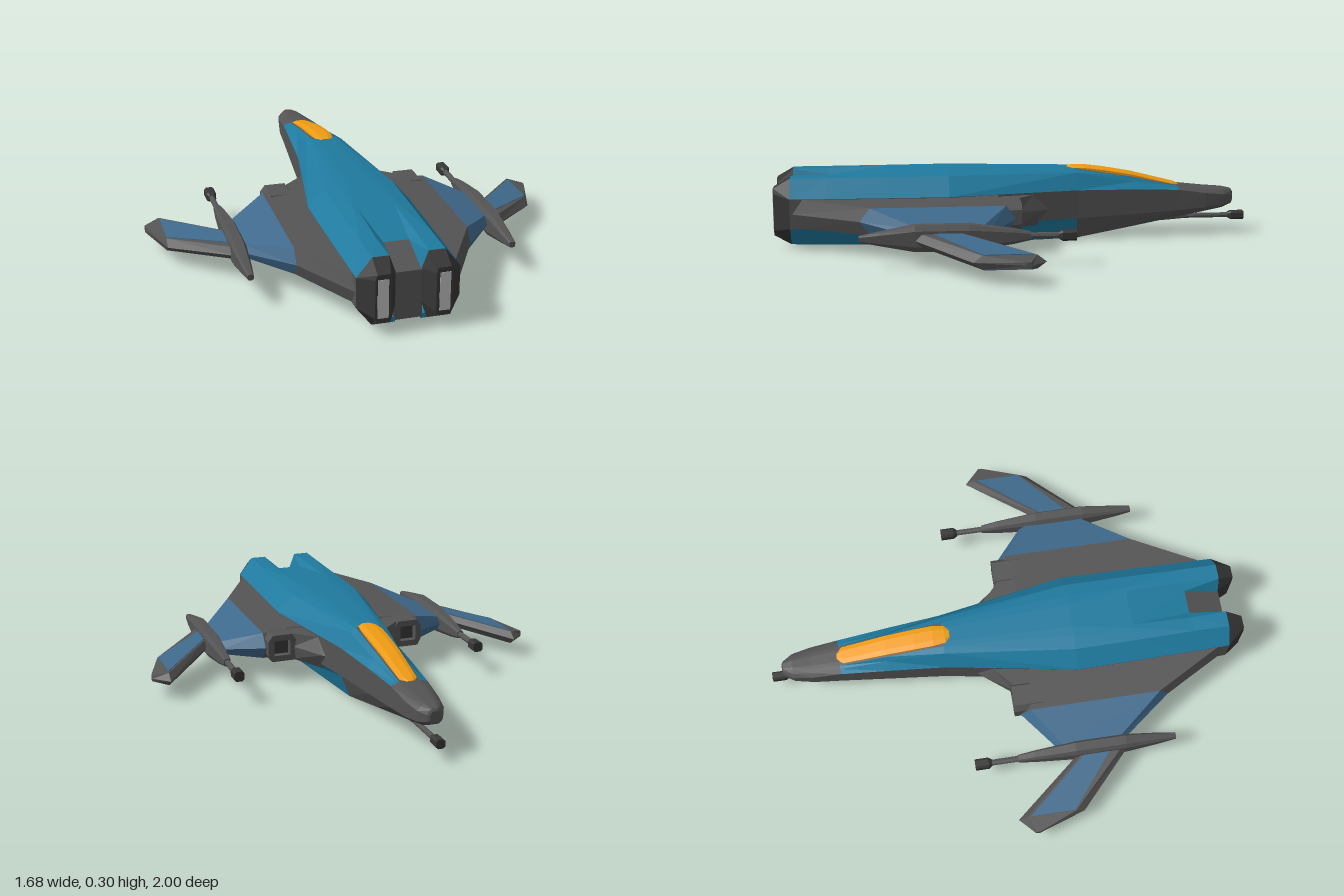
import * as THREE from 'three';

const mat = (color) => new THREE.MeshStandardMaterial({ color, flatShading: true, side: THREE.DoubleSide });
const GREY = mat(0x545454), DARK = mat(0x363636), TEAL = mat(0x1f7a9f);
const MUTED = mat(0x3f6a8c), ORANGE = mat(0xf09c14), LIGHT = mat(0xbbbbbb);

function mesh(name, geometry, material, parent) {
  const m = new THREE.Mesh(geometry, material);
  m.name = name;
  parent.add(m);
  return m;
}

// Skin over rows of points; closed rows make a capped solid
function loft(rows, closed = true) {
  const pos = [];
  const n = rows[0].length;
  const tri = (a, b, c) => pos.push(...a, ...b, ...c);
  for (let r = 0; r < rows.length - 1; r++) {
    for (let i = 0; i < (closed ? n : n - 1); i++) {
      const j = (i + 1) % n, p = rows[r], q = rows[r + 1];
      tri(p[i], p[j], q[j]);
      tri(p[i], q[j], q[i]);
    }
  }
  if (closed) {
    const a = rows[0], b = rows[rows.length - 1];
    for (let i = 1; i < n - 1; i++) {
      tri(a[0], a[i + 1], a[i]);
      tri(b[0], b[i], b[i + 1]);
    }
  }
  const g = new THREE.BufferGeometry();
  g.setAttribute('position', new THREE.Float32BufferAttribute(pos, 3));
  g.computeVertexNormals();
  return g;
}

// Wing section at x: front/rear z, top/bottom y, bevelled edges
function wingRing(x, zf, zr, yt, yb, bevel) {
  const m = (yt + yb) / 2;
  return [[x, m, zf], [x, yt, zf + bevel], [x, yt, zr - bevel],
    [x, m, zr], [x, yb, zr - bevel], [x, yb, zf + bevel]].reverse();
}

// Eight-sided section at z with chamfered corners
function octRing(z, cx, cy, w, h, c = 0.4) {
  const k = 1 - c;
  return [[w, k * h], [k * w, h], [-k * w, h], [-w, k * h], [-w, -k * h], [-k * w, -h], [k * w, -h], [w, -k * h]]
    .map(([x, y]) => [cx + x, cy + y, z]);
}

function cannon(name, x, y, zBack, zTip, r, parent) {
  const gun = new THREE.Group();
  gun.name = name;
  const len = zBack - zTip;
  const barrel = mesh('barrel', new THREE.CylinderGeometry(r * 0.6, r * 0.6, len, 8), GREY, gun);
  barrel.rotation.x = Math.PI / 2;
  barrel.position.set(x, y, zTip + len / 2 + 0.005);
  mesh('muzzle', loft([octRing(zTip, x, y, r, r), octRing(zTip + 0.055, x, y, r, r),
    octRing(zTip + 0.07, x, y, r * 0.6, r * 0.6)]), DARK, gun);
  parent.add(gun);
}

// Hull half sections: z, then [x, y] of centre edge, ridge, shoulder, upper waist, lower waist, keel
const HULL = [
  [-0.94, [0.01, 0.195], [0.015, 0.194], [0.022, 0.188], [0.03, 0.172], [0.03, 0.145], [0.018, 0.133]],
  [-0.9, [0.015, 0.203], [0.025, 0.201], [0.04, 0.193], [0.054, 0.178], [0.052, 0.135], [0.03, 0.118]],
  [-0.82, [0.02, 0.208], [0.035, 0.206], [0.052, 0.2], [0.068, 0.188], [0.066, 0.125], [0.038, 0.104]],
  [-0.7, [0.025, 0.22], [0.042, 0.218], [0.056, 0.214], [0.076, 0.206], [0.075, 0.118], [0.045, 0.083]],
  [-0.5, [0.028, 0.264], [0.048, 0.26], [0.062, 0.242], [0.095, 0.215], [0.093, 0.108], [0.06, 0.048]],
  [-0.26, [0.03, 0.302], [0.052, 0.3], [0.08, 0.288], [0.117, 0.22], [0.115, 0.1], [0.08, 0.008]],
  [0.28, [0.05, 0.31], [0.09, 0.306], [0.145, 0.295], [0.21, 0.22], [0.21, 0.097], [0.14, 0.006]],
  [0.53, [0.075, 0.304], [0.092, 0.304], [0.143, 0.295], [0.207, 0.22], [0.207, 0.097], [0.14, 0.01]],
  [0.78, [0.05, 0.275], [0.08, 0.297], [0.14, 0.295], [0.203, 0.22], [0.203, 0.097], [0.14, 0.016]],
  [0.93, [0.048, 0.225], [0.075, 0.295], [0.14, 0.295], [0.2, 0.22], [0.2, 0.097], [0.14, 0.02]],
];

function hullBand(name, s0, s1, p0, p1, material, parent) {
  const rows = HULL.slice(s0, s1 + 1).map(([z, ...p]) => p.slice(p0, p1 + 1).map(([x, y]) => [x, y, z]));
  mesh(name, loft(rows, false), material, parent);
}

// Strip joining both sides of the hull at one profile point
function hullBridge(name, s0, s1, p, material, parent) {
  const rows = HULL.slice(s0, s1 + 1).map(([z, ...pts]) => [[-pts[p][0], pts[p][1], z], [pts[p][0], pts[p][1], z]]);
  mesh(name, loft(rows, false), material, parent);
}

function buildSide() {
  const side = new THREE.Group();
  side.name = 'side';

  // Hull skin
  hullBand('noseUpper', 0, 3, 0, 3, GREY, side);
  hullBand('canopySurround', 3, 5, 0, 1, GREY, side);
  hullBand('shoulderFront', 3, 5, 1, 3, TEAL, side);
  hullBand('upperHull', 5, 9, 0, 3, TEAL, side);
  hullBand('waist', 0, 9, 3, 4, GREY, side);
  hullBand('noseLower', 0, 5, 4, 5, GREY, side);
  hullBand('lowerHull', 5, 9, 4, 5, TEAL, side);

  // Engine nozzle
  const wide = [[0.05, 0.225], [0.075, 0.295], [0.14, 0.295], [0.2, 0.22], [0.2, 0.097], [0.14, 0.02], [0.075, 0.02], [0.05, 0.09]];
  const tight = [[0.085, 0.235], [0.09, 0.255], [0.14, 0.255], [0.148, 0.235], [0.148, 0.08], [0.14, 0.06], [0.09, 0.06], [0.085, 0.08]];
  const at = (pts, z) => pts.map(([x, y]) => [x, y, z]).reverse();
  mesh('nozzle', loft([at(wide, 0.93), at(tight, 0.999)]), DARK, side);
  const glow = mesh('exhaust', new THREE.BoxGeometry(0.042, 0.155, 0.01), LIGHT, side);
  glow.position.set(0.118, 0.158, 0.996);

  // Inner wing
  mesh('wingRoot', loft([wingRing(0.13, 0.04, 0.97, 0.22, 0.098, 0.03),
    wingRing(0.2, 0.04, 0.92, 0.218, 0.098, 0.04),
    wingRing(0.35, 0.02, 0.645, 0.21, 0.1, 0.04)]), GREY, side);
  mesh('wingPanel', loft([wingRing(0.35, 0.02, 0.645, 0.21, 0.1, 0.04),
    wingRing(0.51, 0.15, 0.43, 0.155, 0.1, 0.025)]), MUTED, side);

  // Air intake with its fairing
  const frame = new THREE.Shape([[0.225, 0.1], [0.33, 0.1], [0.345, 0.13], [0.345, 0.19], [0.325, 0.215], [0.24, 0.215], [0.225, 0.19]]
    .map(([x, y]) => new THREE.Vector2(x, y)));
  frame.holes.push(new THREE.Path([[0.25, 0.125], [0.25, 0.19], [0.32, 0.19], [0.32, 0.125]].map(([x, y]) => new THREE.Vector2(x, y))));
  mesh('intakeFrame', new THREE.ExtrudeGeometry(frame, { depth: 0.12, bevelEnabled: false }), GREY, side).position.z = -0.005;
  const duct = mesh('intakeDuct', new THREE.BoxGeometry(0.08, 0.08, 0.02), DARK, side);
  duct.position.set(0.285, 0.158, 0.035);
  mesh('intakeFairing', loft([wingRing(0.11, -0.17, 0.12, 0.205, 0.085, 0.05),
    wingRing(0.15, -0.12, 0.12, 0.212, 0.08, 0.05),
    wingRing(0.235, 0, 0.12, 0.213, 0.1, 0.008)]), GREY, side);

  // Wing pod and its cannon
  mesh('wingPod', loft([[-0.02, 0.014, 0.016], [0.05, 0.02, 0.03], [0.22, 0.03, 0.052], [0.43, 0.03, 0.052], [0.57, 0.02, 0.026], [0.645, 0.012, 0.012]]
    .map(([z, w, h]) => octRing(z, 0.528, 0.128, w, h))), GREY, side);
  cannon('wingCannon', 0.528, 0.128, 0.05, -0.2, 0.021, side);

  // Swept wing tip with coloured stripe
  mesh('wingTip', loft([wingRing(0.54, 0.235, 0.445, 0.15, 0.1, 0.025),
    wingRing(0.775, -0.055, 0.22, 0.114, 0.06, 0.035),
    wingRing(0.838, 0.005, 0.03, 0.1, 0.075, 0.005)]), GREY, side);
  mesh('wingTipStripe', loft([wingRing(0.545, 0.265, 0.37, 0.152, 0.097, 0),
    wingRing(0.774, -0.005, 0.18, 0.117, 0.057, 0)]), MUTED, side);
  return side;
}

export function createModel() {
  const model = new THREE.Group();
  model.name = 'starfighter';
  const left = buildSide();
  const right = buildSide();
  left.name = 'leftSide';
  right.name = 'rightSide';
  right.scale.x = -1;
  model.add(left, right);

  // Centre strips closing the hull
  hullBridge('noseTop', 0, 5, 0, GREY, model);
  hullBridge('spine', 5, 8, 0, TEAL, model);
  hullBridge('tailSlope', 8, 9, 0, GREY, model);
  hullBridge('noseBelly', 0, 5, 5, GREY, model);
  hullBridge('belly', 5, 8, 5, TEAL, model);
  const hullRing = (s) => {
    const [z, ...p] = s;
    return [...p.map(([x, y]) => [x, y, z]), ...p.map(([x, y]) => [-x, y, z]).reverse()];
  };
  const tip = hullRing(HULL[0]);
  mesh('noseCap', loft([tip.map(([x, y, z]) => [x * 0.7, 0.164 + (y - 0.164) * 0.7, z - 0.006]), tip]), GREY, model);

  // Block between the engines, and the engine undersides
  mesh('engineDivider', new THREE.BoxGeometry(0.11, 0.195, 0.2), GREY, model).position.set(0, 0.124, 0.83);
  for (const s of [1, -1]) {
    mesh('engineUnderside', new THREE.BoxGeometry(0.09, 0.02, 0.15), TEAL, model).position.set(s * 0.095, 0.03, 0.855);
  }

  // Canopy
  const canopy = [[-0.71, 0.018, 0.221], [-0.685, 0.036, 0.23], [-0.5, 0.042, 0.276], [-0.38, 0.044, 0.297],
    [-0.3, 0.044, 0.307], [-0.25, 0.038, 0.308], [-0.23, 0.025, 0.305]];
  mesh('canopy', loft(canopy.map(([z, w, y]) => [[w, y - 0.03, z], [w, y - 0.006, z], [w * 0.5, y, z],
    [-w * 0.5, y, z], [-w, y - 0.006, z], [-w, y - 0.03, z]])), ORANGE, model);

  // Cannon under the nose
  cannon('noseCannon', 0, 0.077, -0.55, -1, 0.018, model);
  mesh('cannonMount', loft([octRing(-0.75, 0, 0.08, 0.012, 0.012), octRing(-0.62, 0, 0.078, 0.022, 0.018),
    octRing(-0.5, 0, 0.075, 0.022, 0.02)]), GREY, model);
  return model;
}
